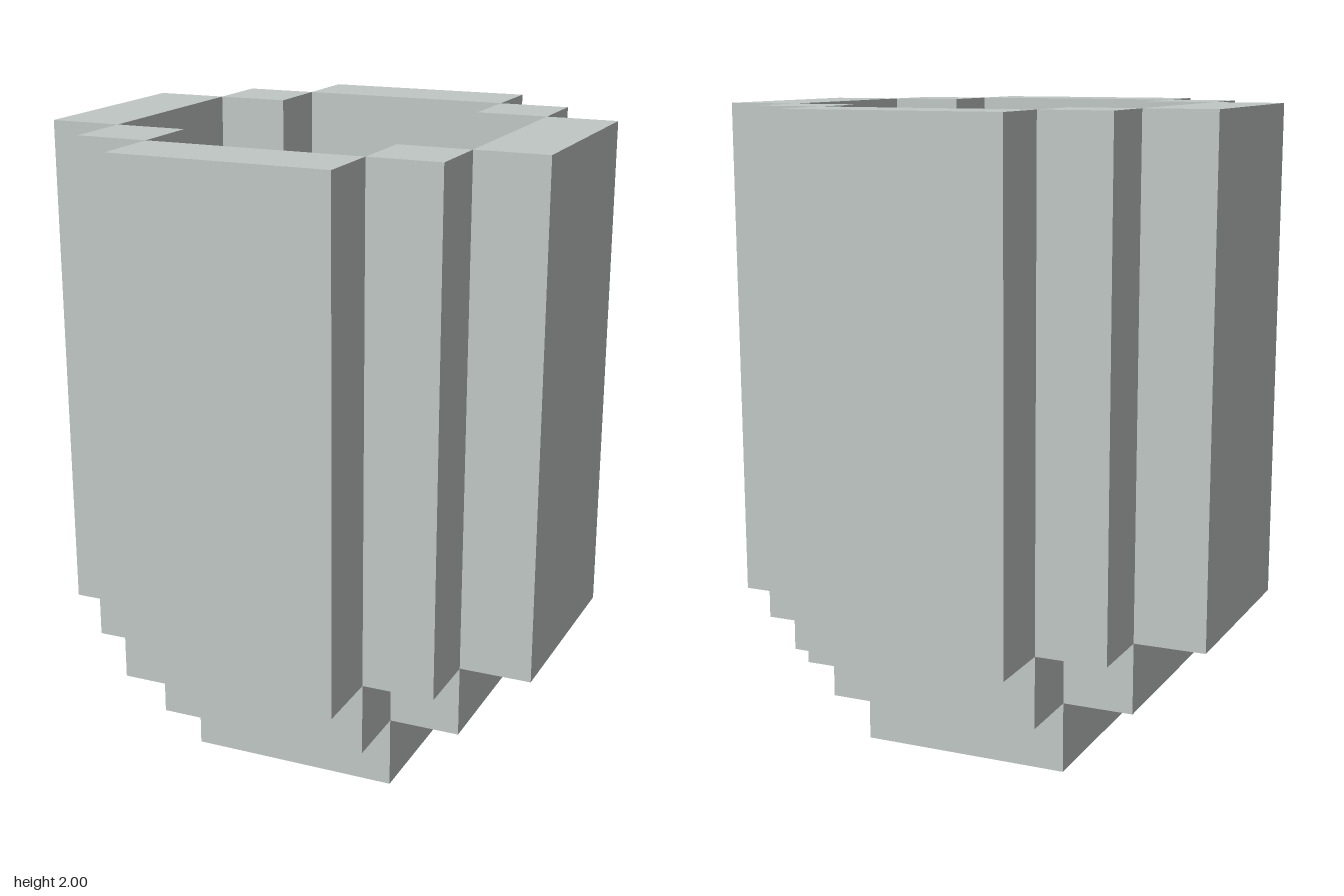
import * as THREE from 'three';

const U = 2 / 9; // one block

export function createModel() {
  const model = new THREE.Group();
  model.name = 'steppedPlanter';

  const stone = new THREE.MeshStandardMaterial({ color: 0xc0c7c4 });
  stone.name = 'pale grey stone';

  function add(name, geometry, x, y, z) {
    const mesh = new THREE.Mesh(geometry, stone);
    mesh.name = name;
    mesh.position.set(x * U, y * U, z * U);
    model.add(mesh);
    return mesh;
  }
  const box = (w, h, d) => new THREE.BoxGeometry(w * U, h * U, d * U);

  // Square foot
  add('foot', box(3, 1, 3), 0, 0.5, 0);

  // Cross-shaped tier, whose top is the floor of the hollow
  const a = 1.5 * U, b = 2.5 * U;
  const cross = new THREE.Shape([
    [b, -a], [b, a], [a, a], [a, b], [-a, b], [-a, a],
    [-b, a], [-b, -a], [-a, -a], [-a, -b], [a, -b], [a, -a],
  ].map(([x, y]) => new THREE.Vector2(x, y)));
  const tier = new THREE.ExtrudeGeometry(cross, { depth: U, bevelEnabled: false });
  tier.rotateX(-Math.PI / 2);
  add('floorTier', tier, 0, 1, 0);

  // Tall outer panels and the square posts set between them
  for (const s of [-1, 1]) {
    add(s > 0 ? 'leftPanel' : 'rightPanel', box(1, 7, 3), 3 * s, 5.5, 0);
    add(s > 0 ? 'frontPanel' : 'backPanel', box(3, 7, 1), 0, 5.5, 3 * s);
    for (const t of [-1, 1]) add('cornerPost', box(1, 7, 1), 2 * s, 5.5, 2 * t);
  }

  return model;
}
